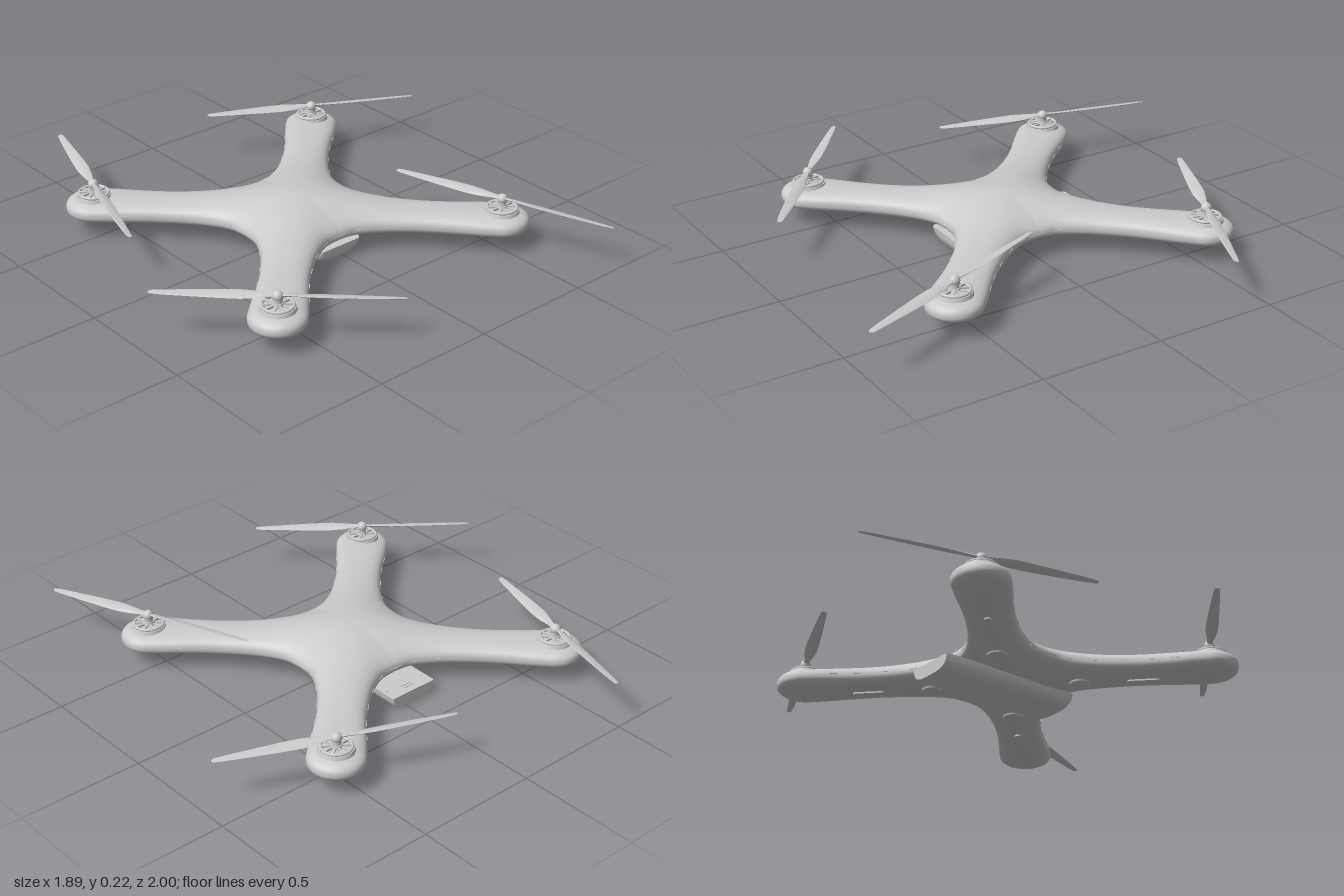
import * as THREE from 'three';
import { mergeVertices, mergeGeometries, toCreasedNormals } from 'three/addons/utils/BufferGeometryUtils.js';

const CX = -0.035;           // centre of the airframe in x
const ARM = 0.8, POD = 0.11; // motor distance from the centre, pod radius
const MID = 0.102;           // height of the hull's side seam
const mat = new THREE.MeshStandardMaterial({ color: 0xcccccc, roughness: 0.6 });

const add = (parent, name, geo, x = 0, y = 0, z = 0) => {
  const m = new THREE.Mesh(geo, mat);
  m.name = name;
  m.position.set(x, y, z);
  parent.add(m);
  return m;
};

// Skin closed rings of [x, y, z] points, with optional end caps
function loft(rings, caps) {
  const n = rings[0].length, pos = rings.flat(2), idx = [];
  for (let i = 0; i < rings.length - 1; i++)
    for (let j = 0; j < n; j++) {
      const k = (j + 1) % n, a = i * n + j, b = a + n, c = (i + 1) * n + k, d = i * n + k;
      idx.push(a, b, c, a, c, d);
    }
  if (caps) {
    const last = (rings.length - 1) * n;
    for (let j = 1; j < n - 1; j++) idx.push(0, j, j + 1, last, last + j + 1, last + j);
  }
  const g = new THREE.BufferGeometry();
  g.setAttribute('position', new THREE.Float32BufferAttribute(pos, 3));
  g.setIndex(idx);
  return g;
}

const spow = (v, p) => Math.sign(v) * Math.abs(v) ** p;
const topY = r => 0.147 + 0.053 * Math.exp(-((r / 0.29) ** 2));

// Edge of one arm in its own frame: distance along the arm, half width
const edge = new THREE.SplineCurve([
  [0.187, 0.187], [0.25, 0.137], [0.36, 0.106], [0.5, 0.094], [0.62, 0.097], [0.72, 0.106], [ARM, POD],
].map(p => new THREE.Vector2(...p)));

// One quarter of the hull: V-shaped sections at the centre, straight ones at the pod
function armGeometry(angle) {
  const N = 48, NT = 2.5, rings = [], ca = Math.cos(angle), sa = Math.sin(angle);
  const ring = place => {
    const out = [];
    for (let j = 0; j < N; j++) {
      const a = j / N * Math.PI * 2;
      const tau = spow(Math.cos(a), 2 / NT);
      const { u, v, rho } = place(tau);
      const g = Math.max(0, 1 - rho ** NT) ** (1 / NT);
      const lim = Math.sin(a) >= 0 ? topY(Math.hypot(u, v)) : 0.06;
      out.push([u * ca - v * sa, MID + (lim - MID) * g, u * sa + v * ca]);
    }
    return out;
  };
  for (let i = 0; i <= 36; i++) {
    const t = i / 36, e = edge.getPoint(t), uc = ARM * t;
    rings.push(ring(tau => ({ u: uc + (e.x - uc) * Math.abs(tau), v: e.y * tau, rho: Math.abs(tau) })));
  }
  for (let i = 1; i <= 16; i++) {
    const f = i / 16 * Math.PI / 2, s = Math.sin(f), c = Math.cos(f);
    rings.push(ring(tau => ({ u: ARM + POD * s, v: POD * c * tau, rho: Math.min(1, Math.hypot(s, c * tau)) })));
  }
  return loft(rings);
}

// Twisted blade running along +x
function bladeGeometry(twist) {
  const stations = [[0.005, 0.010, 0.006], [0.04, 0.012, 0.005], [0.08, 0.019, 0.004], [0.13, 0.024, 0.003],
    [0.2, 0.023, 0.0025], [0.3, 0.019, 0.002], [0.4, 0.014, 0.0016], [0.448, 0.010, 0.0014], [0.456, 0.004, 0.001]];
  return loft(stations.map(([x, c, t]) => {
    const p = twist * 0.3 * (1 - x), out = [];
    for (let j = 0; j < 12; j++) {
      const a = j / 12 * Math.PI * 2, z = c * Math.cos(a), y = t * Math.sin(a);
      out.push([x, y * Math.cos(p) + z * Math.sin(p), z * Math.cos(p) - y * Math.sin(p)]);
    }
    return out;
  }), true);
}

// Vented motor bell, shaft and propeller; (dx, dz) points to the higher blade tip
function rotor(x, z, dx, dz) {
  const g = new THREE.Group();
  g.name = 'rotor';
  g.position.set(x, 0, z);
  add(g, 'motorBase', new THREE.CylinderGeometry(0.066, 0.07, 0.014, 40), 0, 0.147, 0);
  const rim = add(g, 'motorRim', new THREE.TorusGeometry(0.058, 0.006, 10, 40), 0, 0.159, 0);
  rim.rotation.x = Math.PI / 2;
  for (let i = 0; i < 10; i++) {
    const a = i / 10 * Math.PI * 2;
    const s = add(g, 'motorSpoke', new THREE.BoxGeometry(0.04, 0.008, 0.008), 0.037 * Math.cos(a), 0.16, -0.037 * Math.sin(a));
    s.rotation.y = a;
  }
  add(g, 'motorHub', new THREE.CylinderGeometry(0.022, 0.026, 0.022, 24), 0, 0.159, 0);
  add(g, 'shaft', new THREE.CylinderGeometry(0.018, 0.018, 0.03, 24), 0, 0.183, 0);
  add(g, 'propellerNut', new THREE.SphereGeometry(0.021, 24, 14), 0, 0.195, 0);
  const prop = new THREE.Group();
  prop.name = 'propeller';
  prop.position.y = 0.198;
  prop.rotation.set(0, Math.atan2(-dz, dx), 0.025);
  for (const r of [0, Math.PI])
    add(prop, 'blade', toCreasedNormals(bladeGeometry(1), 0.9)).rotation.y = r;
  g.add(prop);
  return g;
}

export function createModel() {
  const model = new THREE.Group();
  model.name = 'quadcopter';
  const frame = new THREE.Group();
  frame.name = 'airframe';
  frame.position.x = CX;
  model.add(frame);
  const angles = [0, 1, 2, 3].map(k => Math.PI / 4 + k * Math.PI / 2);

  // Hull: four arms welded into one smooth shell
  const hull = mergeVertices(mergeGeometries(angles.map(armGeometry)), 1e-4);
  hull.computeVertexNormals();
  add(frame, 'hull', hull);

  // Underside pads and side slots on every arm
  const padShape = new THREE.Shape();
  padShape.absarc(0.05, 0, 0.014, -Math.PI / 2, Math.PI / 2);
  padShape.absarc(-0.05, 0, 0.014, Math.PI / 2, Math.PI * 1.5);
  const padGeo = new THREE.ExtrudeGeometry(padShape, { depth: 0.012, bevelEnabled: false, curveSegments: 8 });
  padGeo.rotateX(Math.PI / 2);
  for (const a of angles) {
    const arm = new THREE.Group();
    arm.name = 'armDetails';
    arm.rotation.y = -a;
    frame.add(arm);
    add(arm, 'undersideVent', new THREE.CylinderGeometry(0.042, 0.038, 0.012, 28), 0.29, 0.06, 0);
    add(arm, 'undersidePad', padGeo, 0.54, 0.066, 0);
    for (const side of [1, -1])
      for (const t of [0.18, 0.32, 0.46, 0.6, 0.74]) {
        const p = edge.getPoint(t), d = edge.getTangent(t);
        const s = add(arm, 'sideSlot', new THREE.BoxGeometry(0.03, 0.005, 0.004), p.x, 0.106, side * p.y);
        s.rotation.y = -side * Math.atan2(d.y, d.x);
      }
  }
  for (const s of [1, -1]) {
    add(frame, 'seamSlot', new THREE.BoxGeometry(0.13, 0.005, 0.004), 0, 0.106, s * 0.265);
    add(frame, 'seamSlot', new THREE.BoxGeometry(0.004, 0.005, 0.13), s * 0.265, 0.106, 0);
  }

  // Belly pod: rounded trough with a rounded nose and a flat rear
  const sections = [[-0.367, 0.104, 0.004], [-0.36, 0.107, 0], [0.2, 0.107, 0], [0.23, 0.106, 0.003],
    [0.25, 0.103, 0.012], [0.261, 0.098, 0.026], [0.267, 0.092, 0.045]];
  const belly = loft(sections.map(([z, w, b]) => {
    const out = [], top = z < 0 ? 0.058 : 0.068;
    for (let j = 0; j < 40; j++) {
      const a = j / 40 * Math.PI * 2, s = Math.sin(a);
      const h = s > 0 ? s ** 0.55 : 0;
      out.push([w * spow(Math.cos(a), 0.55) * (1 - 0.08 * h), top - (top - b) * h, z]);
    }
    return out;
  }), true);
  add(frame, 'bellyPod', toCreasedNormals(belly, 0.7));
  for (const z of [-0.335, -0.32])
    add(frame, 'rearContact', new THREE.BoxGeometry(0.05, 0.004, 0.006), 0, 0.059, z);
  for (const s of [1, -1])
    add(frame, 'rearLatch', new THREE.BoxGeometry(0.012, 0.004, 0.01), s * 0.09, 0.059, -0.31);

  // Rotors, each with its own blade direction
  const o = ARM * Math.SQRT1_2;
  [[-1, -1, 0.135, -0.435], [1, -1, -0.42, -0.19], [-1, 1, -0.345, -0.3], [1, 1, -0.16, -0.435]]
    .forEach(([sx, sz, dx, dz]) => frame.add(rotor(sx * o, sz * o, dx, dz)));
  return model;
}
